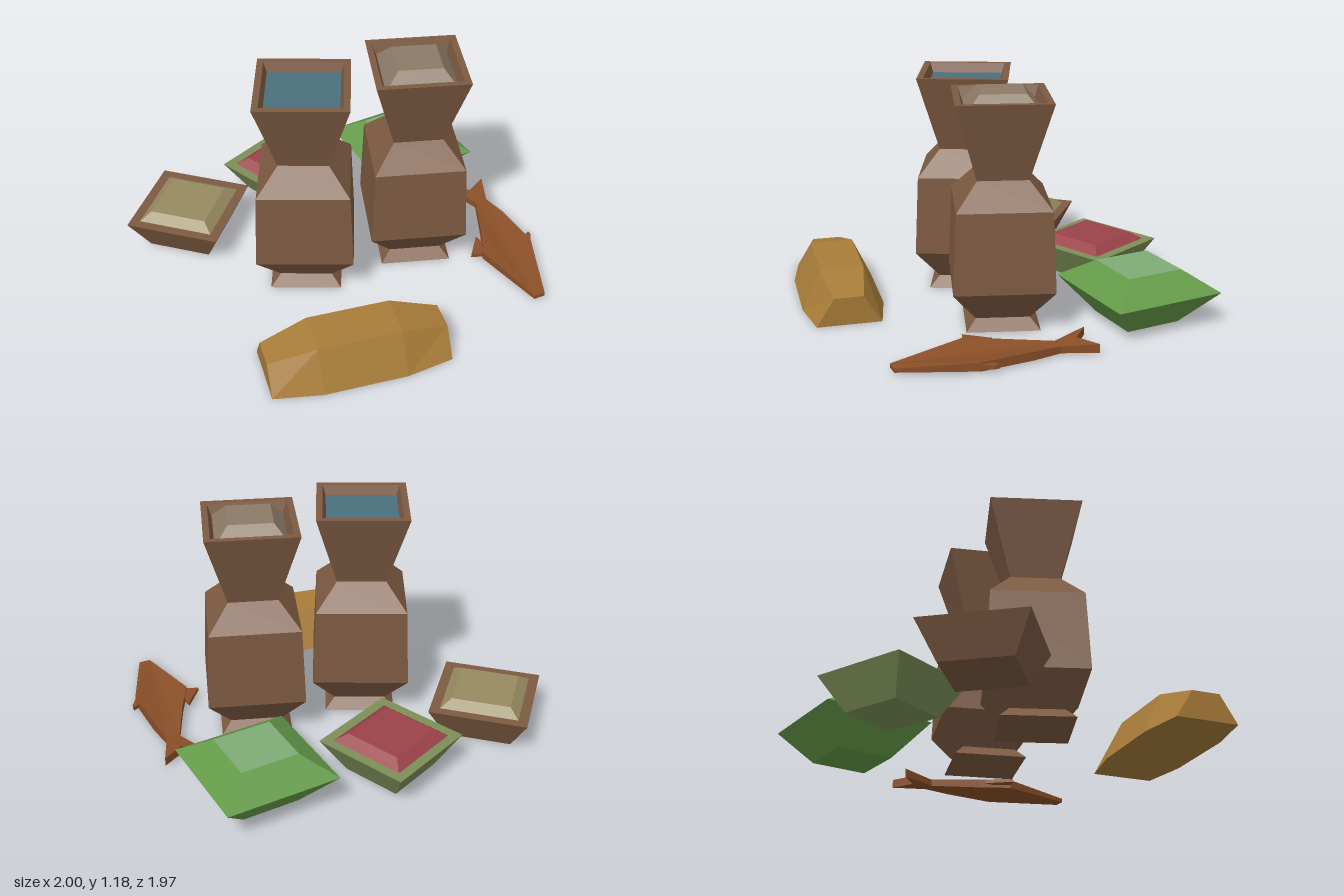
import * as THREE from 'three';

const mat = (color) => new THREE.MeshStandardMaterial({ color, flatShading: true });

function mesh(name, geometry, color) {
  const g = geometry.index ? geometry.toNonIndexed() : geometry;
  g.computeVertexNormals();
  const m = new THREE.Mesh(g, mat(color));
  m.name = name;
  return m;
}

// Four-sided turned form; profile is [corner radius, height] from bottom to top
function squareTurned(name, profile, color) {
  const points = profile.map(([r, y]) => new THREE.Vector2(r, y));
  return mesh(name, new THREE.LatheGeometry(points, 4), color);
}

function place(name, x, z, degrees, parts) {
  const g = new THREE.Group();
  g.name = name;
  g.position.set(x, 0, z);
  g.rotation.y = THREE.MathUtils.degToRad(degrees);
  g.add(...parts);
  return g;
}

const JAR = [
  [0, 0], [0.26, 0], [0.19, 0.055], [0.354, 0.22], [0.331, 0.63], [0.18, 0.76],
  [0.331, 1.155], [0.285, 1.155], [0.255, 1.09], [0, 1.09],
];

function bowl(baseRadius, rimColor, fillColor) {
  return [
    squareTurned('bowlShell', [[0, 0], [baseRadius, 0], [0.359, 0.178], [0.288, 0.178], [0.25, 0.15], [0, 0.15]], rimColor),
    squareTurned('bowlFilling', [[0.288, 0.177], [0.215, 0.217], [0, 0.217]], fillColor),
  ];
}

// Loaf: box with four stations, narrowed at the top and at both ends
function loaf() {
  const g = new THREE.BoxGeometry(3, 1, 2, 3, 1, 1);
  const p = g.attributes.position;
  for (let i = 0; i < p.count; i++) {
    const end = Math.abs(p.getX(i)) > 1;
    const top = p.getY(i) > 0;
    const half = top ? (end ? 0.075 : 0.112) : (end ? 0.165 : 0.21);
    p.setXYZ(i, Math.sign(p.getX(i)) * (end ? 0.456 : 0.212),
      top ? (end ? 0.145 : 0.21) : 0, Math.sign(p.getZ(i)) * half);
  }
  return mesh('loafBody', g, 0xa87c38);
}

// Flat slab from an outline of [x, z] points
function slab(name, outline, y, height, color) {
  const shape = new THREE.Shape(outline.map(([x, z]) => new THREE.Vector2(x, -z)));
  const g = new THREE.ExtrudeGeometry(shape, { depth: height, bevelEnabled: false });
  g.rotateX(-Math.PI / 2).translate(0, y, 0);
  return mesh(name, g, color);
}

function fish() {
  const color = 0x8a4f28;
  const body = slab('fishBody', [
    [0.735, -0.065], [0.815, 0.04], [0.94, -0.005], [0.845, 0.15], [0.84, 0.3], [0.805, 0.57],
    [0.6, 0.91], [0.54, 0.9], [0.525, 0.5], [0.63, 0.36], [0.775, 0.14],
  ], 0.01, 0.045, color);
  // Thin the snout and the tail root
  const p = body.geometry.attributes.position;
  for (let i = 0; i < p.count; i++) {
    if (p.getY(i) < 0.03) continue;
    const z = p.getZ(i);
    if (z > 0.8) p.setY(i, 0.03);
    else if (z > 0.08 && z < 0.2) p.setY(i, 0.045);
  }
  body.geometry.computeVertexNormals();
  const g = new THREE.Group();
  g.name = 'fish';
  g.add(body,
    slab('fishTopFin', [[0.47, 0.47], [0.585, 0.37], [0.58, 0.46], [0.52, 0.5]], 0.025, 0.02, color),
    slab('fishBellyFin', [[0.8, 0.52], [0.85, 0.5], [0.845, 0.525], [0.8, 0.575]], 0.025, 0.02, color));
  return g;
}

export function createModel() {
  const model = new THREE.Group();
  model.name = 'marketGoods';
  const brown = 0x7d5a41;

  // Two tall jars, one with water and one with heaped grain
  model.add(place('waterJar', -0.27, -0.015, 9.5, [
    squareTurned('jarBody', JAR, brown),
    squareTurned('water', [[0.262, 1.105], [0, 1.105]], 0x4a707e),
  ]));
  model.add(place('grainJar', 0.31, 0.14, 16.4, [
    squareTurned('jarBody', JAR, brown),
    squareTurned('grain', [[0.255, 1.1], [0.16, 1.18], [0, 1.18]], 0x8c7a66),
  ]));

  // Three shallow vessels
  model.add(place('brownBowl', -0.64, -0.627, -6.2, bowl(0.24, brown, 0x968a60)));
  model.add(place('oliveBowl', 0.0125, -0.655, -31, bowl(0.22, 0x7c8f58, 0x9a4249)));
  model.add(place('greenBundle', 0.675, -0.445, 39.2, [
    squareTurned('bundleBody', [[0, 0], [0.21, 0], [0.419, 0.178], [0.215, 0.28]], 0x649a48),
    squareTurned('bundleTop', [[0.215, 0.28], [0, 0.28]], 0x7fab76),
  ]));

  // Bread and fish on the ground
  model.add(place('loaf', -0.4525, 0.68, -18.5, [loaf()]));
  model.add(fish());
  return model;
}
